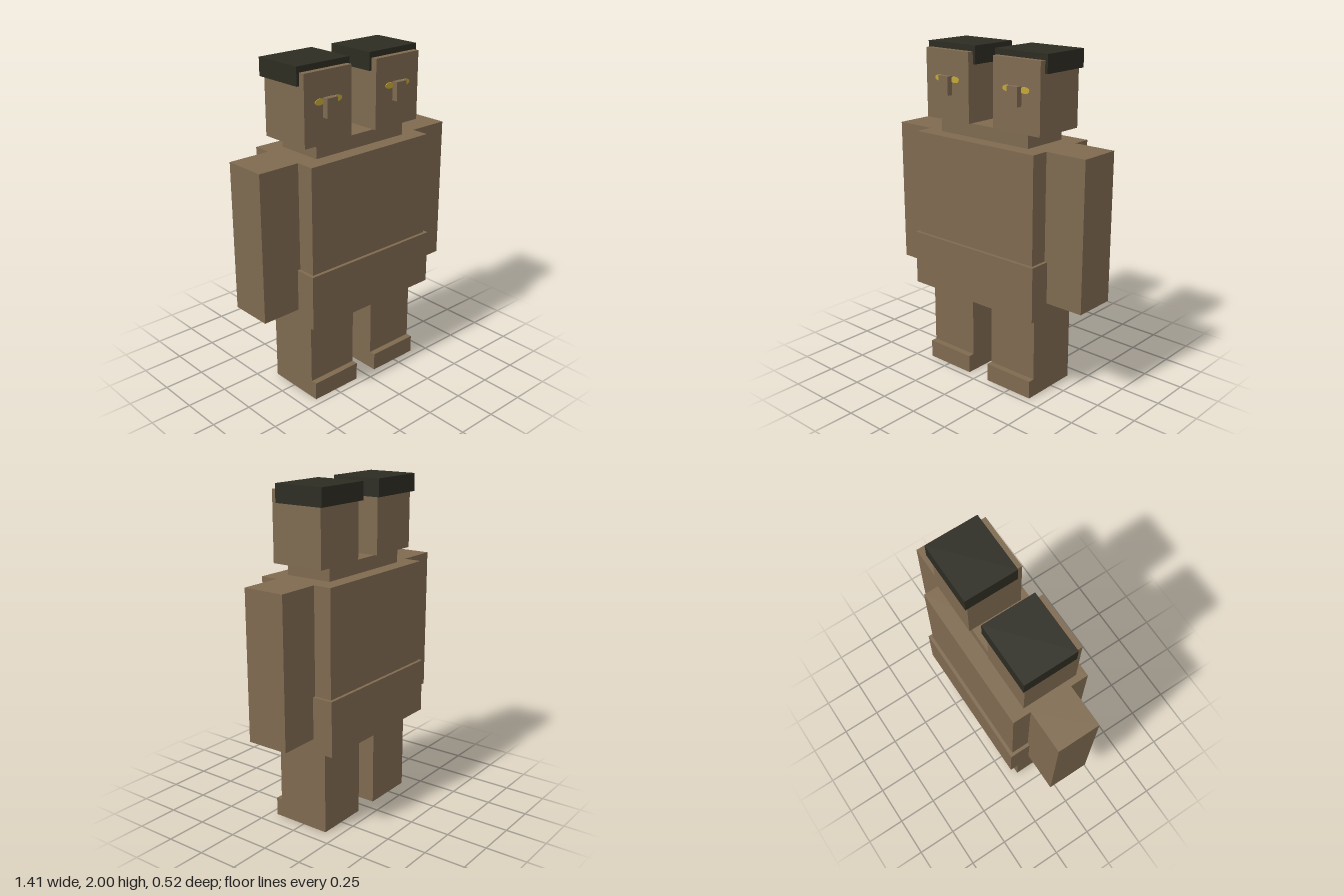
import * as THREE from 'three';

const material = (name, color) => {
  const m = new THREE.MeshStandardMaterial({ color });
  m.name = name;
  return m;
};

export function createModel() {
  const skin = material('brown', 0x7f6a50);
  const dark = material('hair black', 0x2d2c22);
  const yellow = material('eye yellow', 0xc4a838);

  const model = new THREE.Group();
  model.name = 'twoHeadedFigure';

  // Box given by its lower and upper corner on each axis
  const box = (parent, name, mat, [x0, x1], [y0, y1], [z0, z1]) => {
    const mesh = new THREE.Mesh(new THREE.BoxGeometry(x1 - x0, y1 - y0, z1 - z0), mat);
    mesh.position.set((x0 + x1) / 2, (y0 + y1) / 2, (z0 + z1) / 2);
    mesh.name = name;
    parent.add(mesh);
    return mesh;
  };

  // Trunk
  box(model, 'hips', skin, [-0.463, 0.463], [0.52, 0.85], [-0.26, 0.26]);
  box(model, 'torso', skin, [-0.444, 0.444], [0.85, 1.48], [-0.24, 0.24]);
  box(model, 'neck', skin, [-0.33, 0.33], [1.48, 1.56], [-0.147, 0.147]);

  // Flat oval for the eyes, facing +z
  const eyeGeometry = new THREE.CylinderGeometry(1, 1, 0.006, 16);
  eyeGeometry.rotateX(Math.PI / 2).scale(0.034, 0.018, 1);

  for (const side of [1, -1]) {
    const label = side > 0 ? 'left' : 'right';
    const span = (a, b) => (side > 0 ? [a, b] : [-b, -a]);

    // Arm, leg and toe
    box(model, label + 'Arm', skin, span(0.444, 0.703), [0.6, 1.48], [-0.13, 0.13]);
    box(model, label + 'Leg', skin, span(0.075, 0.405), [0, 0.52], [-0.165, 0.167]);
    box(model, label + 'Toe', skin, span(0.075, 0.405), [0, 0.11], [0.167, 0.205]);

    // Head with hair, nose and eyes
    const head = new THREE.Group();
    head.name = label + 'Head';
    model.add(head);
    box(head, 'skull', skin, span(0.092, 0.426), [1.56, 1.966], [-0.165, 0.167]);
    box(head, 'hair', dark, span(0.074, 0.443), [1.895, 2], [-0.185, 0.13]);
    box(head, 'nose', skin, span(0.222, 0.296), [1.71, 1.82], [0.167, 0.203]);
    for (const e of [1, -1]) {
      const eye = new THREE.Mesh(eyeGeometry, yellow);
      eye.name = e > 0 ? 'leftEye' : 'rightEye';
      eye.position.set(side * 0.259 + e * 0.061, 1.8, 0.168);
      head.add(eye);
    }
  }
  return model;
}
